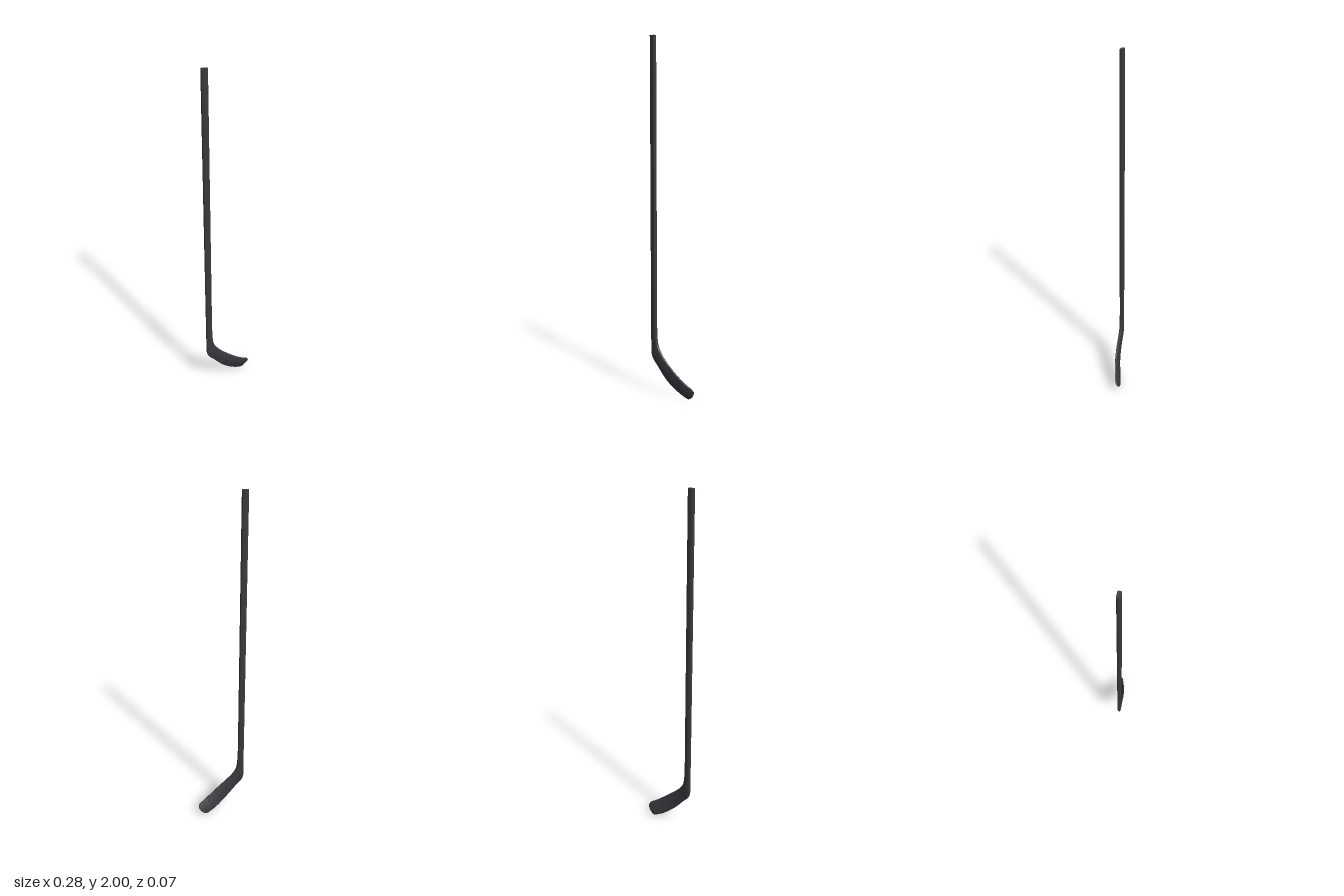
import * as THREE from 'three';
import { toCreasedNormals } from 'three/addons/utils/BufferGeometryUtils.js';

// Stations from butt end to toe: heel-side edge xyz, upper edge xyz, thickness
const STATIONS = [
  [-0.14, 2, 0.0225, -0.106, 2, 0.0225, 0.021],
  [-0.14, 1.3, 0.0225, -0.106, 1.3, 0.0225, 0.021],
  [-0.14, 0.6, 0.0225, -0.106, 0.6, 0.0225, 0.021],
  [-0.14, 0.45, 0.0225, -0.106, 0.46, 0.0225, 0.02],
  [-0.14, 0.36, 0.0225, -0.105, 0.39, 0.0225, 0.019],
  [-0.14, 0.28, 0.0225, -0.101, 0.32, 0.0225, 0.018],
  [-0.14, 0.235, 0.0225, -0.092, 0.282, 0.0225, 0.017],
  [-0.13, 0.204, 0.0225, -0.077, 0.256, 0.023, 0.015],
  [-0.098, 0.166, 0.02, -0.052, 0.226, 0.0235, 0.012],
  [-0.034, 0.09, 0.01, 0.01, 0.167, 0.018, 0.01],
  [0.03, 0.034, -0.011, 0.075, 0.111, 0.004, 0.009],
  [0.07, 0.01, -0.023, 0.108, 0.086, -0.007, 0.009],
  [0.091, 0.001, -0.029, 0.128, 0.073, -0.013, 0.008],
  [0.107, 0.007, -0.031, 0.137, 0.06, -0.02, 0.008],
  [0.122, 0.02, -0.0305, 0.139, 0.046, -0.026, 0.007],
];
const LAST = STATIONS.length - 1;
const curveOf = (pick) => new THREE.CatmullRomCurve3(STATIONS.map((s) => new THREE.Vector3(...pick(s))));
const lowerEdge = curveOf((s) => s.slice(0, 3));
const upperEdge = curveOf((s) => s.slice(3, 6));
const thickness = (s) => {
  const i = Math.min(Math.floor(s), LAST - 1);
  return THREE.MathUtils.lerp(STATIONS[i][6], STATIONS[i + 1][6], s - i);
};

// Rounded rectangle spanning the two edges at station s
const CORNER = 4;
function section(s) {
  const mid = (t) => lowerEdge.getPoint(t).add(upperEdge.getPoint(t)).multiplyScalar(0.5);
  const t = s / LAST;
  const across = upperEdge.getPoint(t).sub(lowerEdge.getPoint(t));
  const width = across.length();
  across.normalize();
  const along = mid(Math.min(t + 0.002, 1)).sub(mid(Math.max(t - 0.002, 0)));
  const normal = along.cross(across).normalize();
  const depth = thickness(s);
  const r = depth * THREE.MathUtils.clamp(0.27 + (s - 4) * 0.04, 0.27, 0.45);
  const centre = mid(t);
  const ring = [];
  for (let q = 0; q < 4; q++) {
    const sx = q === 0 || q === 3 ? 1 : -1;
    const sz = q < 2 ? 1 : -1;
    for (let k = 0; k <= CORNER; k++) {
      const a = (q + k / CORNER) * Math.PI / 2;
      ring.push(centre.clone()
        .addScaledVector(across, sx * (width / 2 - r) + r * Math.cos(a))
        .addScaledVector(normal, sz * (depth / 2 - r) + r * Math.sin(a)));
    }
  }
  return ring;
}

// Skin the sections between two stations, closing the outer ends
function loft(from, to, steps) {
  const rings = [];
  for (let i = 0; i <= steps; i++) rings.push(section(from + (to - from) * i / steps));
  const n = rings[0].length;
  const index = [];
  for (let i = 0; i < steps; i++) {
    for (let j = 0; j < n; j++) {
      const k = (j + 1) % n;
      const a = i * n + j, b = i * n + k, c = a + n, d = b + n;
      index.push(a, b, c, b, d, c);
    }
  }
  const end = steps * n;
  for (let j = 1; j < n - 1; j++) {
    if (from === 0) index.push(0, j + 1, j);
    if (to === LAST) index.push(end, end + j, end + j + 1);
  }
  const geometry = new THREE.BufferGeometry().setFromPoints(rings.flat());
  geometry.setIndex(index);
  return toCreasedNormals(geometry, 0.8);
}

export function createModel() {
  const group = new THREE.Group();
  group.name = 'hockeyStick';
  const material = new THREE.MeshStandardMaterial({ color: 0x3a3a40 });
  const add = (name, geometry) => {
    const mesh = new THREE.Mesh(geometry, material);
    mesh.name = name;
    group.add(mesh);
  };
  add('shaft', loft(0, 3, 6));
  add('blade', loft(3, LAST, 66));
  return group;
}
